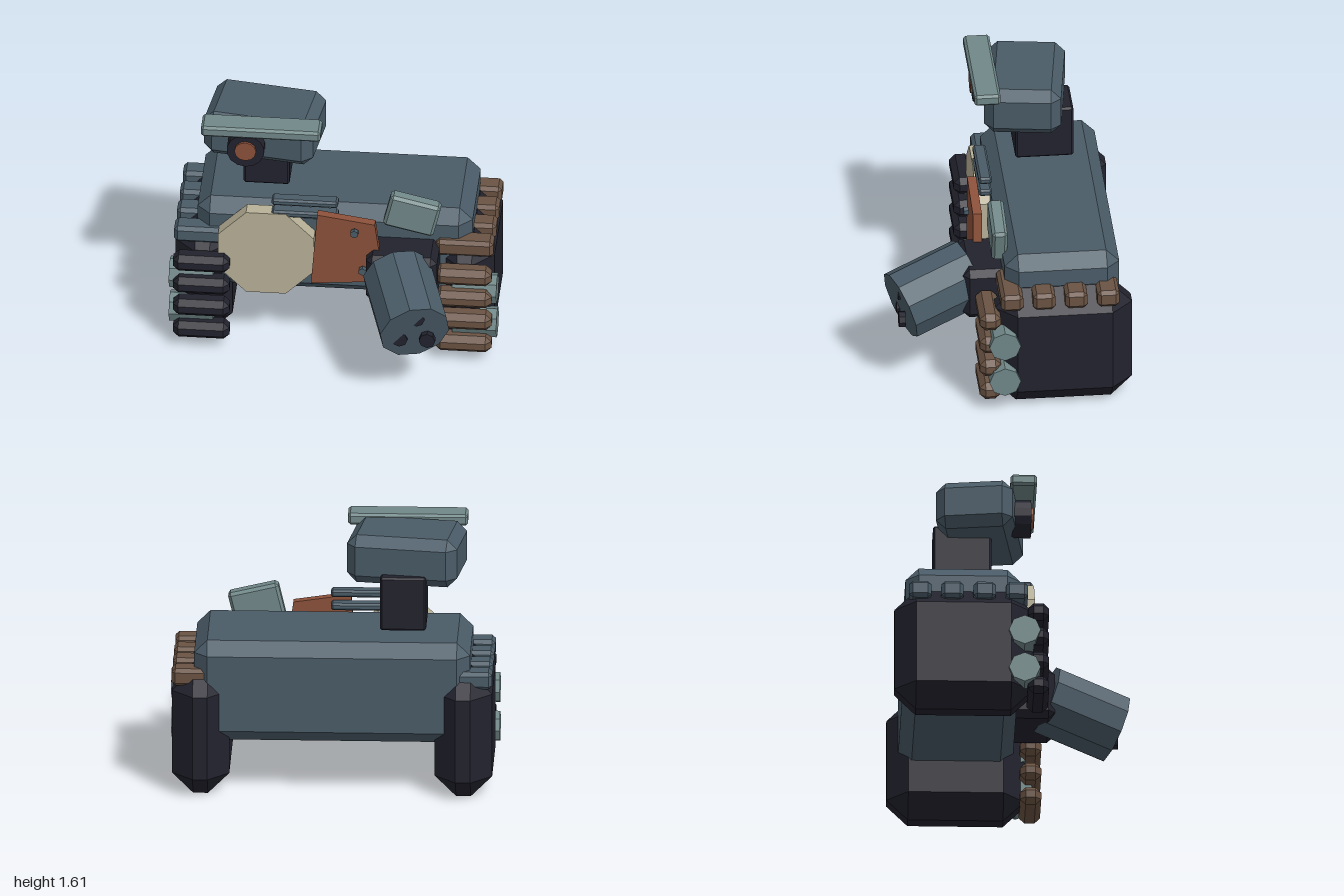
import * as THREE from 'three';
import { ConvexGeometry } from 'three/addons/geometries/ConvexGeometry.js';

function material(name, color) {
  const m = new THREE.MeshStandardMaterial({ color });
  m.name = name;
  return m;
}

// Box with every edge cut flat by b
function chamferBox(w, h, d, b) {
  const points = [];
  for (const sx of [-1, 1]) for (const sy of [-1, 1]) for (const sz of [-1, 1]) {
    const x = w / 2, y = h / 2, z = d / 2;
    points.push(
      new THREE.Vector3(sx * x, sy * (y - b), sz * (z - b)),
      new THREE.Vector3(sx * (x - b), sy * y, sz * (z - b)),
      new THREE.Vector3(sx * (x - b), sy * (y - b), sz * z));
  }
  return new ConvexGeometry(points);
}

// Flat-sided cylinder along z, with unshared normals
function drum(r, length, sides, turn = 0) {
  const g = new THREE.CylinderGeometry(r, r, length, sides).toNonIndexed();
  g.rotateY(turn).rotateX(Math.PI / 2);
  g.computeVertexNormals();
  return g;
}

export function createModel() {
  const model = new THREE.Group();
  const slate = material('slate', 0x4a5c68);
  const dark = material('dark', 0x22222e);
  const teal = material('grey teal', 0x718889);
  const brown = material('brown', 0x6a5343);
  const rust = material('rust', 0x8c513a);
  const bone = material('bone', 0xb8b198);

  function add(name, geometry, mat, x, y, z) {
    const mesh = new THREE.Mesh(geometry, mat);
    mesh.name = name;
    mesh.position.set(x, y, z);
    model.add(mesh);
    return mesh;
  }

  // Hull
  add('hull', chamferBox(1.68, 0.64, 0.70, 0.08), slate, 0, 0.66, -0.31);

  // Track blocks with tread pads and front rollers
  const block = chamferBox(0.35, 0.79, 0.84, 0.13);
  const topPad = chamferBox(0.35, 0.11, 0.135, 0.022);
  const frontPad = chamferBox(0.345, 0.115, 0.13, 0.035);
  const roller = drum(0.096, 0.27, 8).rotateY(Math.PI / 2);
  for (const side of [-1, 1]) {
    const label = side > 0 ? 'left' : 'right';
    add(label + 'Track', block, dark, side * 0.8, 0.395, -0.31);
    for (let i = 0; i < 4; i++) {
      add(label + 'TopPad', topPad, side > 0 ? brown : slate, side * 0.8, 0.753, 0.013 - i * 0.196);
      add(label + 'FrontPad', frontPad, side > 0 ? brown : dark, side * 0.8, 0.128 + i * 0.163, 0.145);
    }
    for (const y of [0.22, 0.47]) add(label + 'Roller', roller, teal, side * 0.865, y, 0.06);
  }

  // Neck and turned head
  add('neck', chamferBox(0.28, 0.34, 0.355, 0.012), dark, -0.428, 1.19, -0.308);
  const head = add('head', chamferBox(0.68, 0.305, 0.47, 0.06), slate, -0.442, 1.433, -0.2);
  head.rotation.y = -0.14;
  add('brow', chamferBox(0.73, 0.072, 0.16, 0.015), teal, -0.44, 1.569, 0.06);
  add('lensRing', drum(0.115, 0.15, 14), dark, -0.535, 1.425, 0.035);
  add('lens', drum(0.066, 0.02, 12), rust, -0.535, 1.43, 0.115);

  // Vent slats above the front edge
  const slat = chamferBox(0.405, 0.045, 0.08, 0.012);
  for (const y of [0.977, 1.062]) add('ventSlat', slat, slate, -0.172, y, 0.085);

  // Octagonal shield
  add('shield', drum(0.317, 0.09, 8, Math.PI / 8), bone, -0.408, 0.69, 0.085);

  // Skewed armour plate with two bolts
  const outline = [[-0.09, 1.03], [0.262, 0.977], [0.288, 0.78], [0.21, 0.553], [-0.128, 0.523]];
  const plate = new THREE.Shape(outline.map(([x, y]) => new THREE.Vector2(x, y)));
  add('armourPlate', new THREE.ExtrudeGeometry(plate, { depth: 0.055, bevelEnabled: false }), rust, 0, 0, 0.13);
  const bolt = drum(0.026, 0.03, 6);
  add('bolt', bolt, slate, 0.14, 0.93, 0.215);
  add('bolt', bolt, slate, 0.19, 0.655, 0.215);

  // Tilted panel
  const panel = add('tiltedPanel', chamferBox(0.315, 0.225, 0.095, 0.018), teal, 0.48, 0.992, 0.057);
  panel.rotation.z = -0.235;

  // Gun mount and angled barrel drum
  add('gunMount', chamferBox(0.435, 0.335, 0.30, 0.04), dark, 0.43, 0.625, 0.13);
  const rear = new THREE.Vector3(0.405, 0.655, 0.225);
  const tip = new THREE.Vector3(0.548, 0.53, 0.655);
  const mid = rear.clone().lerp(tip, 0.5);
  const gun = add('gunDrum', drum(0.218, rear.distanceTo(tip), 10, 0.2), slate, mid.x, mid.y, mid.z);
  gun.lookAt(tip);

  // Three muzzles set straight into the angled face
  const muzzle = drum(0.05, 0.04, 8);
  for (const [x, y] of [[0.56, 0.635], [0.455, 0.48], [0.625, 0.48]]) add('muzzle', muzzle, dark, x, y, 0.655);

  return model;
}
